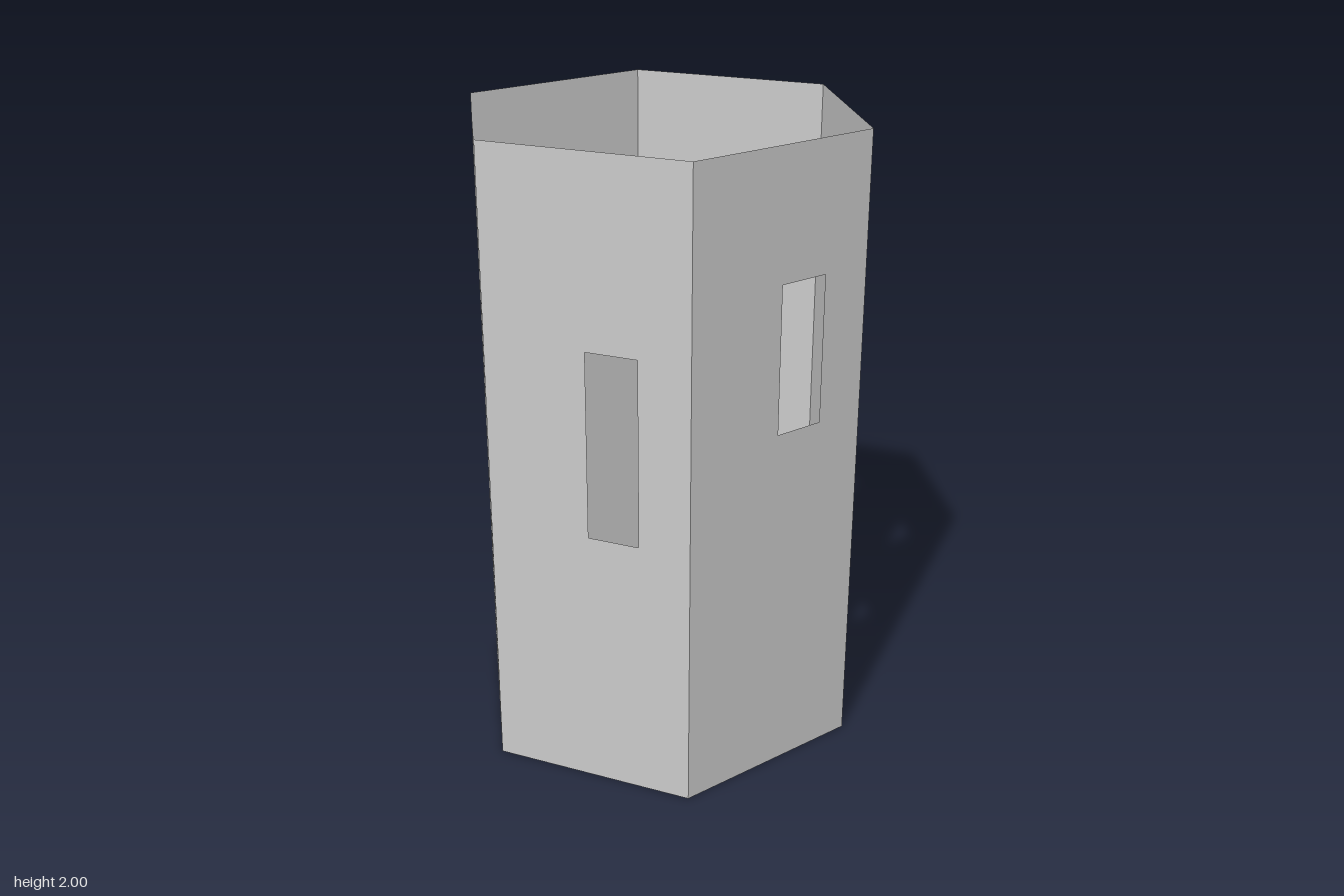
import * as THREE from 'three';

const HEIGHT = 2;
const RADIUS = 0.648; // corner radius, equal to the width of one wall
const APOTHEM = RADIUS * Math.cos(Math.PI / 6);
const UNIT = RADIUS / 4; // opening width module

const material = new THREE.MeshStandardMaterial({
  color: 0xcccccc,
  flatShading: true,
  side: THREE.DoubleSide,
});

// Each wall: facing angle in degrees, window [left, right, bottom, top], door or not
const WALLS = [
  { name: 'frontRightWall', angle: 30, window: [0, UNIT, 1.14, 1.6] },
  { name: 'rightWall', angle: 90, window: [-UNIT / 2, UNIT / 2, 1.115, 1.425], door: true },
  { name: 'backRightWall', angle: 150, window: [-UNIT, 0, 1.085, 1.555] },
  { name: 'backLeftWall', angle: 210, window: [-UNIT, 0, 1.085, 1.425] },
  { name: 'leftWall', angle: 270, window: [-UNIT / 2, UNIT / 2, 1.115, 1.425], door: true },
  { name: 'frontLeftWall', angle: 330, window: [0, UNIT, 0.84, 1.425] },
];

const toPoints = (pairs) => pairs.map(([x, y]) => new THREE.Vector2(x, y));

// Thin wall panel with a window hole and an optional doorway notch
function createWall({ name, angle, window: [l, r, b, t], door }) {
  const half = RADIUS / 2;
  const doorway = door ? [[-UNIT, 0], [-UNIT, 0.65], [UNIT, 0.65], [UNIT, 0]] : [];
  const shape = new THREE.Shape(
    toPoints([[-half, 0], ...doorway, [half, 0], [half, HEIGHT], [-half, HEIGHT]])
  );
  shape.holes.push(new THREE.Path(toPoints([[l, b], [l, t], [r, t], [r, b]])));

  const geometry = new THREE.ShapeGeometry(shape);
  geometry.translate(0, 0, APOTHEM);
  geometry.rotateY(THREE.MathUtils.degToRad(angle));
  const wall = new THREE.Mesh(geometry, material);
  wall.name = name;
  return wall;
}

export function createModel() {
  const tower = new THREE.Group();
  tower.name = 'hexagonalTower';

  // Six walls, open at the top
  for (const wall of WALLS) tower.add(createWall(wall));

  // Hexagonal floor
  const floorGeometry = new THREE.CircleGeometry(RADIUS, 6, Math.PI / 2);
  floorGeometry.rotateX(-Math.PI / 2);
  const floor = new THREE.Mesh(floorGeometry, material);
  floor.name = 'floor';
  tower.add(floor);

  return tower;
}
